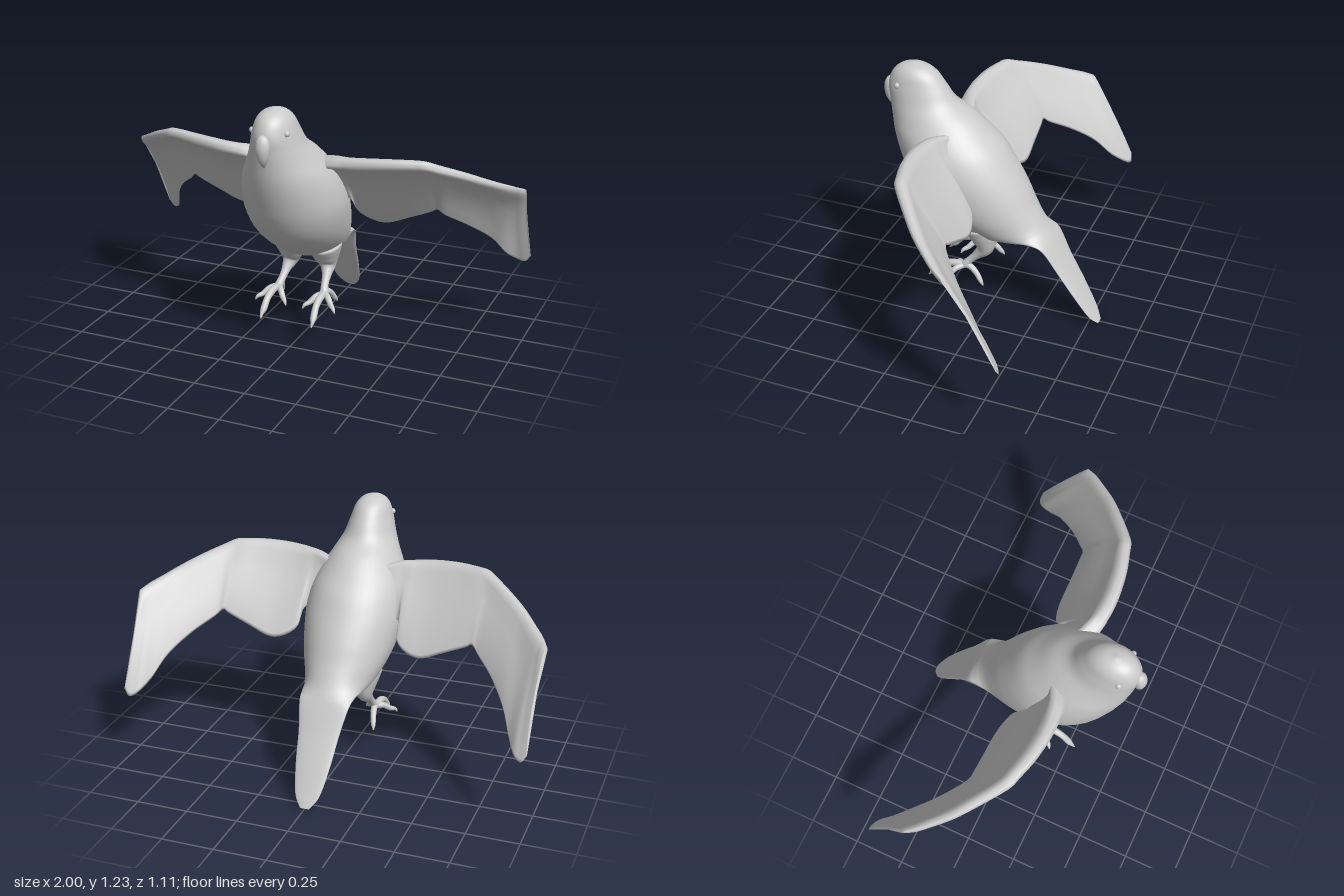
import * as THREE from 'three';

const V = (x, y, z) => new THREE.Vector3(x, y, z);
const spline = (pts) => new THREE.CatmullRomCurve3(pts, false, 'catmullrom', 0.5);

// Smooth skin over closed rings of equal size, capped at both ends and wound outward
function loft(rings) {
  const n = rings[0].length, pos = [], idx = [];
  const centre = (r) => r.reduce((a, p) => a.add(p), V(0, 0, 0)).divideScalar(n);
  const pts = [...rings.flat(), centre(rings[0]), centre(rings[rings.length - 1])];
  pts.forEach((p) => pos.push(p.x, p.y, p.z));
  const first = rings.length * n, last = (rings.length - 1) * n;
  for (let j = 0; j < n; j++) {
    const k = (j + 1) % n;
    for (let i = 0; i < rings.length - 1; i++) {
      const a = i * n + j, b = i * n + k;
      idx.push(a, b, b + n, a, b + n, a + n);
    }
    idx.push(first, k, j, first + 1, last + j, last + k);
  }
  let volume = 0;
  for (let i = 0; i < idx.length; i += 3) {
    volume += pts[idx[i]].dot(pts[idx[i + 1]].clone().cross(pts[idx[i + 2]]));
  }
  if (volume < 0) idx.reverse();
  const geo = new THREE.BufferGeometry();
  geo.setAttribute('position', new THREE.Float32BufferAttribute(pos, 3));
  geo.setIndex(idx);
  geo.computeVertexNormals();
  return geo;
}

// Rings of a tapering limb; each point is [x, y, z, radius]
function limbRings(points, steps = 24, sides = 12, squash = 1) {
  const path = spline(points.map((p) => V(p[0], p[1], p[2])));
  const size = spline(points.map((p) => V(p[3], 0, 0)));
  const rings = [];
  for (let i = 0; i <= steps; i++) {
    const s = i / steps, c = path.getPoint(s), r = Math.max(0.001, size.getPoint(s).x);
    const t = path.getTangent(s);
    const u = t.clone().cross(V(1, 0, 0)).normalize(), v = u.clone().cross(t);
    rings.push(Array.from({ length: sides }, (_, j) => {
      const a = (j / sides) * Math.PI * 2;
      return c.clone().addScaledVector(u, r * Math.cos(a)).addScaledVector(v, r * squash * Math.sin(a));
    }));
  }
  return rings;
}

const flip = (rings, side) => rings.map((r) => r.map((p) => V(p.x * side, p.y, p.z)));

// Head, trunk and tail in one skin: [front z, front y, back z, back y, half width]
function bodyRings() {
  const rows = [
    [0.41, 1.232, 0.395, 1.232, 0.006], [0.465, 1.215, 0.335, 1.218, 0.05],
    [0.505, 1.18, 0.285, 1.185, 0.08], [0.527, 1.12, 0.24, 1.125, 0.1],
    [0.52, 1.05, 0.19, 1.055, 0.122], [0.51, 0.98, 0.1, 0.995, 0.155],
    [0.495, 0.9, 0.03, 0.93, 0.195], [0.465, 0.8, -0.04, 0.86, 0.225],
    [0.42, 0.69, -0.1, 0.77, 0.238], [0.35, 0.585, -0.16, 0.67, 0.225],
    [0.23, 0.49, -0.2, 0.59, 0.2], [0.08, 0.41, -0.235, 0.53, 0.165],
    [-0.05, 0.405, -0.26, 0.49, 0.143], [-0.16, 0.43, -0.285, 0.455, 0.132],
    [-0.265, 0.415, -0.31, 0.415, 0.122], [-0.345, 0.29, -0.37, 0.31, 0.1],
    [-0.425, 0.17, -0.445, 0.185, 0.085], [-0.505, 0.05, -0.515, 0.065, 0.06],
    [-0.547, 0.002, -0.55, 0.006, 0.022],
  ];
  const front = spline(rows.map((r) => V(r[4], r[1], r[0])));
  const back = spline(rows.map((r) => V(r[4], r[3], r[2])));
  const rings = [], steps = 108, sides = 40;
  for (let i = 0; i <= steps; i++) {
    const f = front.getPoint(i / steps), b = back.getPoint(i / steps);
    rings.push(Array.from({ length: sides }, (_, j) => {
      const a = (j / sides) * Math.PI * 2, k = 0.5 - 0.5 * Math.cos(a);
      return V(f.x * Math.sin(a), f.y + (b.y - f.y) * k, f.z + (b.z - f.z) * k);
    }));
  }
  return rings;
}

// Wing: a thick leading edge and a thin cambered blade behind it
function wingRings() {
  // leading x, y, z, then trailing x, y, z, then edge radius
  const rows = [
    [0.1, 0.94, 0.2, 0.14, 0.75, 0.1, 0.045], [0.2, 0.965, 0.24, 0.235, 0.73, 0.08, 0.04],
    [0.26, 0.975, 0.252, 0.25, 0.655, 0.02, 0.036], [0.32, 0.982, 0.258, 0.3, 0.612, -0.01, 0.034],
    [0.4, 0.99, 0.255, 0.38, 0.597, -0.025, 0.032], [0.5, 0.995, 0.24, 0.49, 0.64, -0.022, 0.03],
    [0.59, 0.995, 0.215, 0.59, 0.683, -0.02, 0.028], [0.64, 0.99, 0.2, 0.625, 0.7, -0.02, 0.027],
    [0.69, 0.97, 0.165, 0.66, 0.668, -0.045, 0.026], [0.77, 0.935, 0.1, 0.75, 0.6, -0.13, 0.024],
    [0.85, 0.895, 0.03, 0.83, 0.515, -0.23, 0.022], [0.92, 0.855, -0.05, 0.88, 0.42, -0.31, 0.02],
    [0.965, 0.83, -0.105, 0.92, 0.368, -0.375, 0.017], [0.985, 0.815, -0.14, 0.958, 0.35, -0.4, 0.014],
    [0.998, 0.805, -0.16, 0.985, 0.385, -0.395, 0.008],
  ];
  const lead = spline(rows.map((r) => V(r[0], r[1], r[2])));
  const trail = spline(rows.map((r) => V(r[3], r[4], r[5])));
  const size = spline(rows.map((r) => V(r[6], 0, 0)));
  const profile = [
    [0, 0], [0.02, 0.7], [0.07, 1], [0.14, 0.85], [0.25, 0.5], [0.4, 0.3], [0.6, 0.22], [0.8, 0.18], [0.97, 0.12],
    [1, 0], [0.97, -0.12], [0.8, -0.18], [0.6, -0.2], [0.4, -0.2], [0.25, -0.3], [0.14, -0.7], [0.07, -0.95], [0.02, -0.7],
  ];
  const rings = [], steps = 84;
  for (let i = 0; i <= steps; i++) {
    const s = i / steps, l = lead.getPoint(s), t = trail.getPoint(s), r = size.getPoint(s).x;
    const up = lead.getTangent(s).cross(t.clone().sub(l)).normalize();
    rings.push(profile.map(([c, h]) =>
      l.clone().lerp(t, c).addScaledVector(up, r * h + 0.07 * c * (1 - c))));
  }
  return rings;
}

export function createModel() {
  const model = new THREE.Group();
  const material = new THREE.MeshStandardMaterial({ color: 0xcccccc });
  const add = (name, geo, parent = model) => {
    const mesh = new THREE.Mesh(geo, material);
    mesh.name = name;
    parent.add(mesh);
    return mesh;
  };

  add('body', loft(bodyRings()));

  // Hooked beak
  add('beak', loft(limbRings([
    [0, 1.135, 0.51, 0.012], [0, 1.115, 0.52, 0.027], [0, 1.08, 0.526, 0.031],
    [0, 1.04, 0.526, 0.025], [0, 1.01, 0.52, 0.015], [0, 0.988, 0.513, 0.003],
  ], 24, 16, 1.1)));

  // Leg and toes of the left side: [x, y, z, radius]
  const leg = [
    [0.085, 0.47, 0.03, 0.09], [0.09, 0.41, 0.015, 0.068], [0.097, 0.355, 0.012, 0.042],
    [0.105, 0.315, 0.045, 0.024], [0.11, 0.28, 0.08, 0.018], [0.118, 0.245, 0.11, 0.02], [0.12, 0.235, 0.118, 0.008],
  ];
  const toes = {
    frontToe: [[0.12, 0.245, 0.1, 0.016], [0.122, 0.245, 0.17, 0.018], [0.125, 0.225, 0.225, 0.016],
      [0.128, 0.185, 0.262, 0.016], [0.13, 0.168, 0.28, 0.01], [0.13, 0.147, 0.297, 0.003]],
    outerToe: [[0.12, 0.245, 0.11, 0.015], [0.15, 0.238, 0.14, 0.015], [0.175, 0.215, 0.165, 0.013],
      [0.195, 0.205, 0.185, 0.009], [0.205, 0.188, 0.192, 0.003]],
    innerToe: [[0.12, 0.245, 0.11, 0.015], [0.092, 0.238, 0.145, 0.015], [0.07, 0.215, 0.17, 0.013],
      [0.052, 0.205, 0.19, 0.009], [0.043, 0.188, 0.198, 0.003]],
    backToe: [[0.12, 0.245, 0.12, 0.016], [0.122, 0.245, 0.08, 0.016], [0.13, 0.22, 0.045, 0.014],
      [0.138, 0.19, 0.022, 0.012], [0.142, 0.178, 0.012, 0.008], [0.145, 0.165, 0.004, 0.003]],
  };

  for (const side of [1, -1]) {
    const label = side > 0 ? 'left' : 'right';
    add(label + 'Wing', loft(flip(wingRings(), side)));

    const foot = new THREE.Group();
    foot.name = label + 'Foot';
    model.add(foot);
    add(label + 'Leg', loft(flip(limbRings(leg, 30, 16), side)), foot);
    for (const [name, points] of Object.entries(toes)) {
      add(name, loft(flip(limbRings(points), side)), foot);
    }

    // Small bead eye
    add(label + 'Eye', new THREE.SphereGeometry(0.014, 16, 12)).position.set(side * 0.082, 1.135, 0.453);
  }
  return model;
}
